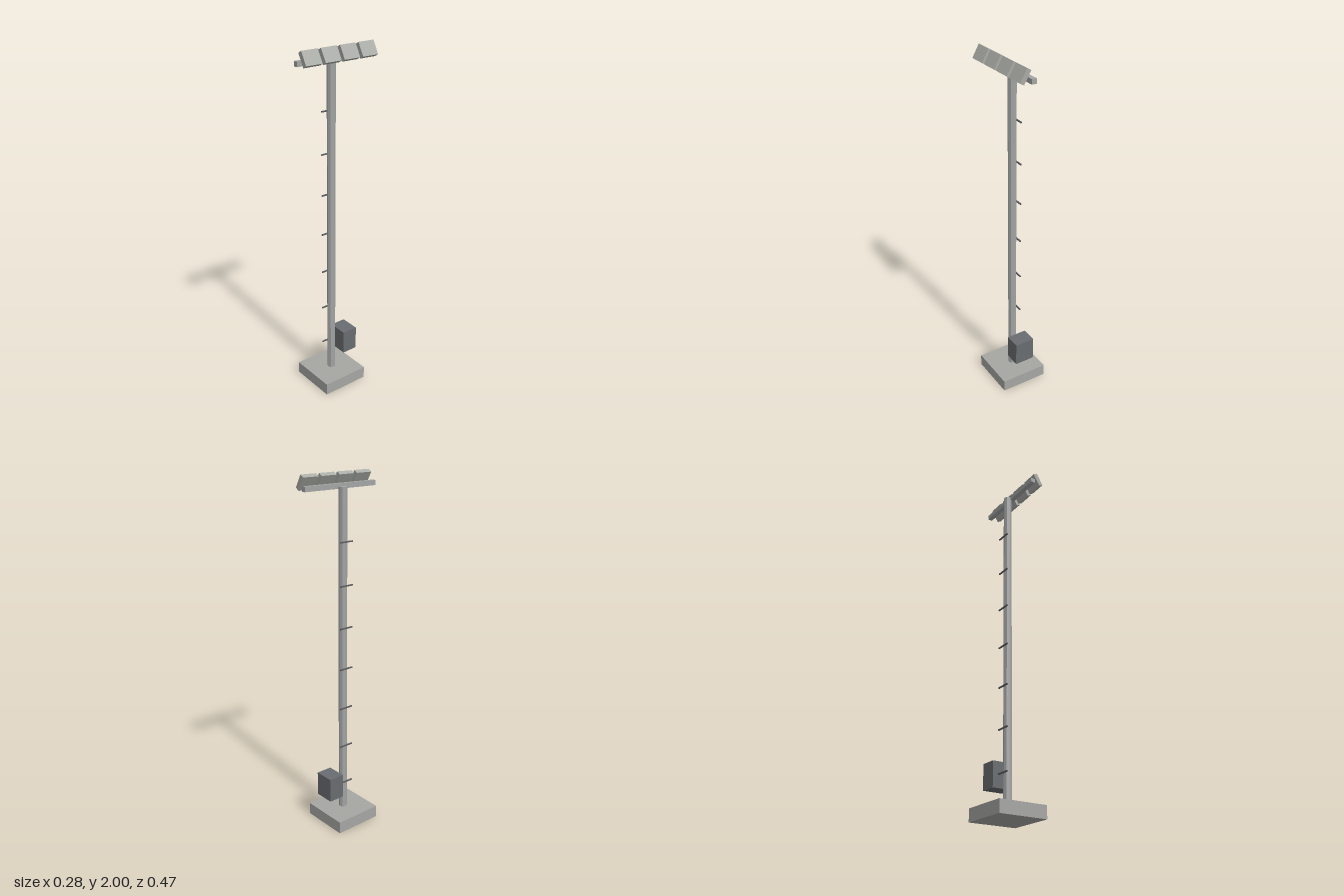
import * as THREE from 'three';

export function createModel() {
  const model = new THREE.Group();
  model.name = 'floodlightMast';

  const material = (name, color) => {
    const m = new THREE.MeshStandardMaterial({ color });
    m.name = name;
    return m;
  };
  const concrete = material('concrete', 0xa6a6a3);
  const steel = material('galvanisedSteel', 0xa3a5a5);
  const cabinetGrey = material('cabinetGrey', 0x696c70);
  const rungGrey = material('rungGrey', 0x5c5e60);
  const lampGrey = material('lampGrey', 0xa9aba6);
  steel.flatShading = true;

  const add = (name, geometry, mat, x, y, z) => {
    const mesh = new THREE.Mesh(geometry, mat);
    mesh.name = name;
    mesh.position.set(x, y, z);
    model.add(mesh);
    return mesh;
  };

  // Footing and eight-sided pole
  add('footing', new THREE.BoxGeometry(0.281, 0.07, 0.281), concrete, 0, 0.035, 0);
  add('pole', new THREE.CylinderGeometry(0.0235, 0.0235, 1.86, 8), steel, 0, 1.0, 0);

  // Control cabinet behind the pole
  add('cabinet', new THREE.BoxGeometry(0.117, 0.14, 0.093), cabinetGrey, 0, 0.24, -0.0945);

  // Climbing rungs on one side of the pole
  const rung = new THREE.BoxGeometry(0.007, 0.007, 0.084);
  for (let i = 0; i < 7; i++) {
    add('rung' + (i + 1), rung, rungGrey, -0.029, 0.24 + i * 0.235, 0);
  }

  // Crossarm carrying four tilted floodlights
  add('crossarm', new THREE.BoxGeometry(0.0265, 0.0265, 0.469), steel, 0.023, 1.932, 0);
  const lamp = new THREE.BoxGeometry(0.0265, 0.078, 0.0985);
  for (let i = 0; i < 4; i++) {
    const mesh = add('floodlight' + (i + 1), lamp, lampGrey, 0.066, 1.9595, (i - 1.5) * 0.1175);
    mesh.rotation.z = Math.PI / 6;
  }

  return model;
}
